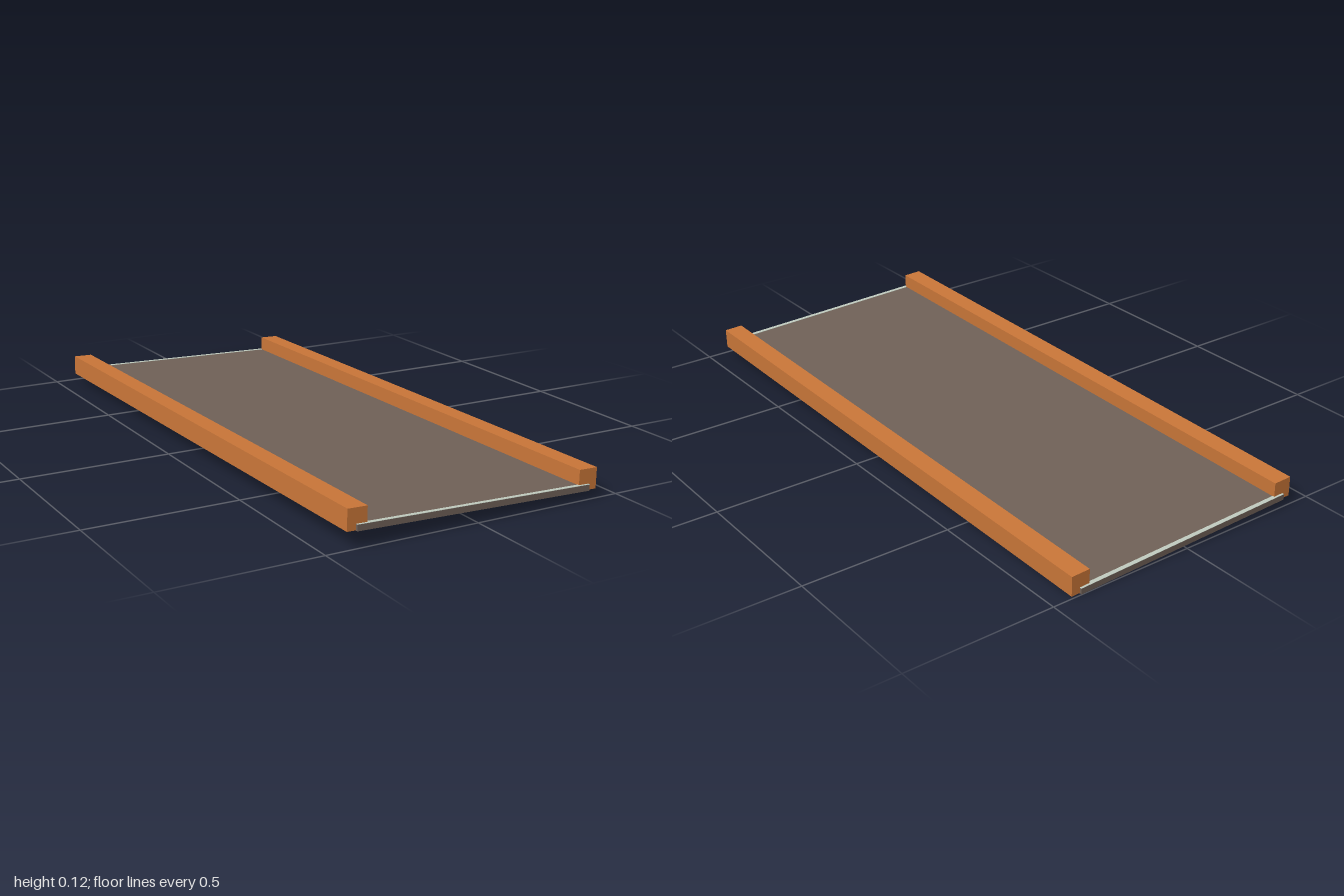
import * as THREE from 'three';

export function createModel() {
  const model = new THREE.Group();
  model.name = 'curbedDeck';

  const wood = new THREE.MeshStandardMaterial({ color: 0xc87538 });
  wood.name = 'orange wood';
  const board = new THREE.MeshStandardMaterial({ color: 0x6f6057 });
  board.name = 'grey brown board';
  const trim = new THREE.MeshStandardMaterial({ color: 0xbfc9bd });
  trim.name = 'pale trim';

  // Everything sits on one slightly sloping plane
  const slope = new THREE.Group();
  slope.name = 'slopingAssembly';
  slope.position.y = 0.0255;
  slope.rotation.set(-0.013, 0, -0.029);
  model.add(slope);

  function box(name, size, position, material) {
    const mesh = new THREE.Mesh(new THREE.BoxGeometry(...size), material);
    mesh.name = name;
    mesh.position.set(...position);
    slope.add(mesh);
  }

  // Flat deck, its underside just proud of the rails
  box('deck', [0.8, 0.019, 1.998], [0, 0.0085, 0], board);

  for (const side of [-1, 1]) {
    // Long side rails
    box(side > 0 ? 'leftRail' : 'rightRail', [0.064, 0.066, 1.984], [side * 0.397, 0.033, 0], wood);
    // Thin pale strip on top of each deck end
    box(side > 0 ? 'frontTrim' : 'backTrim', [0.8, 0.001, 0.014], [0, 0.0185, side * 0.992], trim);
  }

  return model;
}
